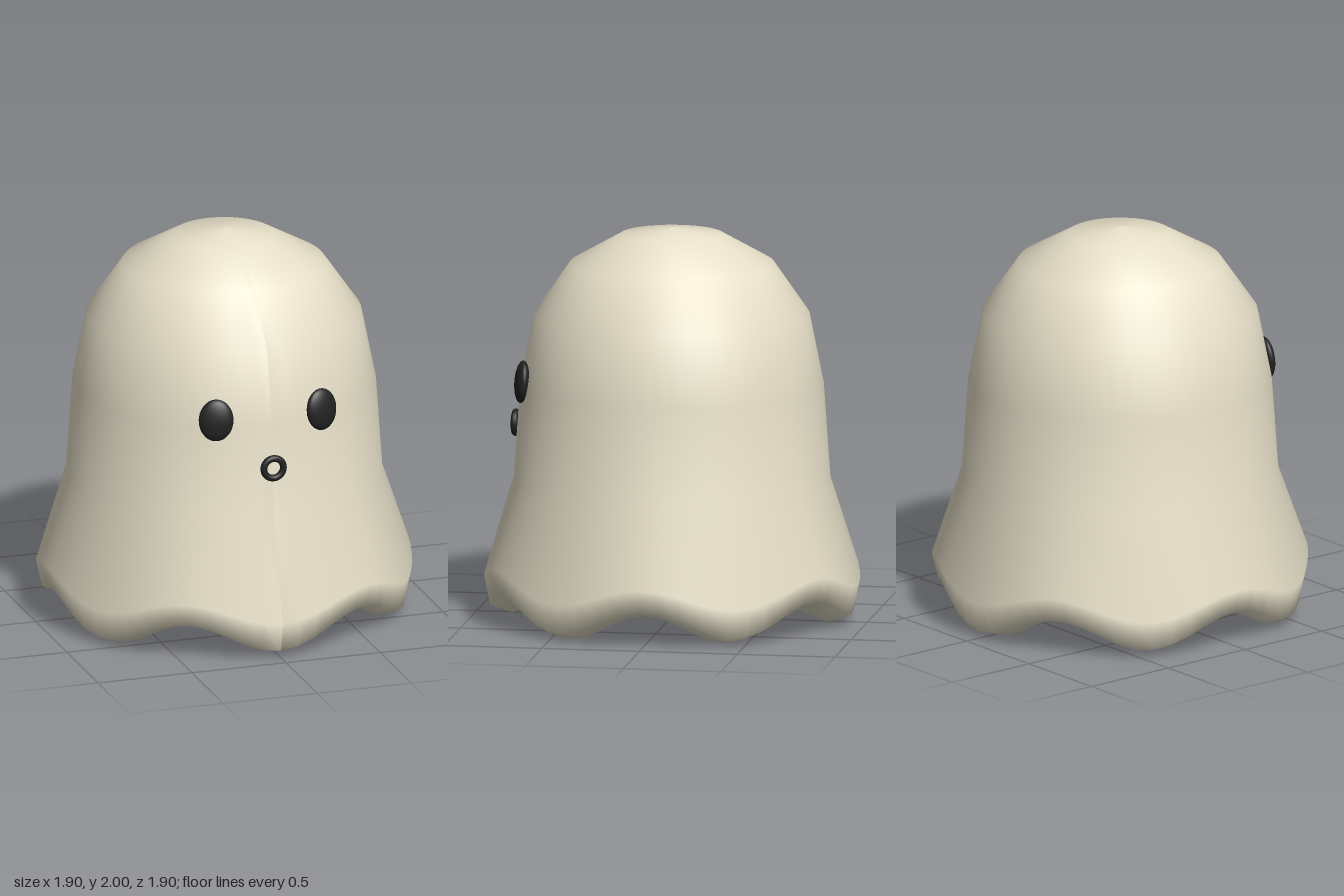
import * as THREE from 'three';

// Cross-section rows: [radius, height, wave amplitude], from the underside centre to the crown
const PROFILE = [
  [0, 0.32, 0],
  [0.81, 0.075, 0.073],
  [0.92, 0.11, 0.07],
  [0.95, 0.245, 0.055],
  [0.8, 0.72, 0],
  [0.767, 1.2, 0],
  [0.695, 1.56, 0],
  [0.515, 1.82, 0],
  [0.26, 1.965, 0],
  [0, 2, 0],
];
const WAVES = 6;

// Turned sheet whose hem rises and dips in six waves
function sheetGeometry() {
  const points = PROFILE.map(([r, y]) => new THREE.Vector2(r, y));
  const segments = 64;
  const geometry = new THREE.LatheGeometry(points, segments);
  const pos = geometry.attributes.position;
  for (let i = 0; i < pos.count; i++) {
    const row = i % PROFILE.length;
    const angle = (Math.floor(i / PROFILE.length) / segments) * Math.PI * 2;
    pos.setY(i, pos.getY(i) - PROFILE[row][2] * Math.cos(WAVES * angle));
  }
  geometry.computeVertexNormals();
  return geometry;
}

export function createModel() {
  const group = new THREE.Group();
  group.name = 'ghost';
  const cloth = new THREE.MeshStandardMaterial({ color: 0xe6dfc8 });
  const dark = new THREE.MeshStandardMaterial({ color: 0x222222 });

  const add = (name, geometry, material) => {
    const mesh = new THREE.Mesh(geometry, material);
    mesh.name = name;
    group.add(mesh);
    return mesh;
  };

  add('sheetBody', sheetGeometry(), cloth);

  // Oval eyes, turned to follow the body
  for (const [name, side] of [['leftEye', 1], ['rightEye', -1]]) {
    const eye = add(name, new THREE.SphereGeometry(1, 32, 20), dark);
    eye.scale.set(0.088, 0.108, 0.036);
    eye.position.set(side * 0.28, 1.235, 0.722);
    eye.rotation.set(-0.1, side * 0.3, side * 0.06);
  }

  // Small ring mouth
  const mouth = add('mouth', new THREE.TorusGeometry(0.052, 0.0175, 12, 32), dark);
  mouth.position.set(0, 0.975, 0.8);

  return group;
}
